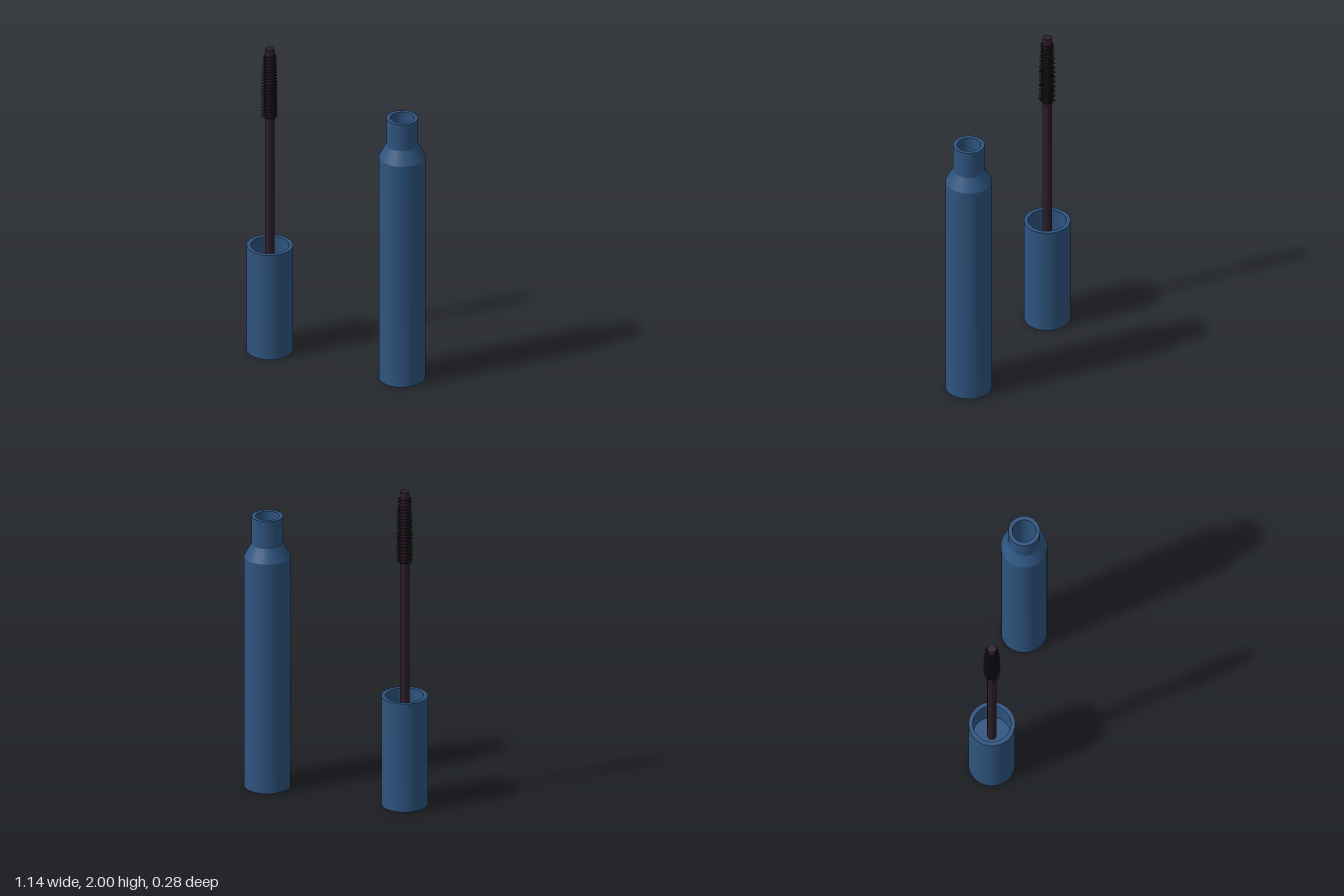
import * as THREE from 'three';
import { mergeGeometries, toCreasedNormals } from 'three/addons/utils/BufferGeometryUtils.js';

const blue = new THREE.MeshStandardMaterial({ name: 'blue casing', color: 0x2e547f });
const dark = new THREE.MeshStandardMaterial({ name: 'dark wand', color: 0x2c1f29 });
const black = new THREE.MeshStandardMaterial({ name: 'black bristles', color: 0x1c1519 });

function mesh(name, geometry, material) {
  const m = new THREE.Mesh(geometry, material);
  m.name = name;
  return m;
}

// Closed hollow vessel turned from a profile of [radius, height] points
function vessel(name, profile) {
  const points = profile.map(([r, y]) => new THREE.Vector2(r, y));
  const geometry = toCreasedNormals(new THREE.LatheGeometry(points, 64), 0.45);
  return mesh(name, geometry, blue);
}

// Rings of fine tapered hairs pointing outward from the rod
function bristleGeometry() {
  const rings = 21, perRing = 24, rod = 0.025;
  const hairs = [];
  for (let i = 0; i < rings; i++) {
    const t = i / (rings - 1);
    const reach = 0.052 - 0.008 * Math.max(0, (t - 0.5) * 2);
    for (let j = 0; j < perRing; j++) {
      const length = reach - rod - (j % 2) * 0.003;
      const hair = new THREE.CylinderGeometry(0.0007, 0.0028, length, 4);
      hair.translate(0, rod + length / 2, 0);
      hair.rotateZ(-Math.PI / 2);
      hair.rotateY((j / perRing) * Math.PI * 2);
      hair.translate(0, 1.552 + t * 0.4, 0);
      hairs.push(hair);
    }
  }
  return mergeGeometries(hairs);
}

export function createModel() {
  const model = new THREE.Group();
  model.name = 'mascara';

  // Cap with the applicator standing in it
  const applicator = new THREE.Group();
  applicator.name = 'applicator';
  applicator.position.x = -0.43;
  applicator.add(vessel('cap', [
    [0, 0], [0.138, 0], [0.138, 0.694], [0.113, 0.694], [0.113, 0.5], [0, 0.5],
  ]));
  const rod = new THREE.CylinderGeometry(0.0275, 0.0275, 1.5, 32);
  rod.translate(0, 1.25, 0);
  applicator.add(mesh('wandRod', rod, dark));
  applicator.add(mesh('brushBristles', bristleGeometry(), black));
  model.add(applicator);

  // Bottle with sloped shoulder and open neck
  const bottle = vessel('bottle', [
    [0, 0], [0.138, 0], [0.138, 1.468], [0.094, 1.55], [0.094, 1.725],
    [0.07, 1.725], [0.07, 0.05], [0, 0.05],
  ]);
  bottle.position.x = 0.43;
  model.add(bottle);

  return model;
}
